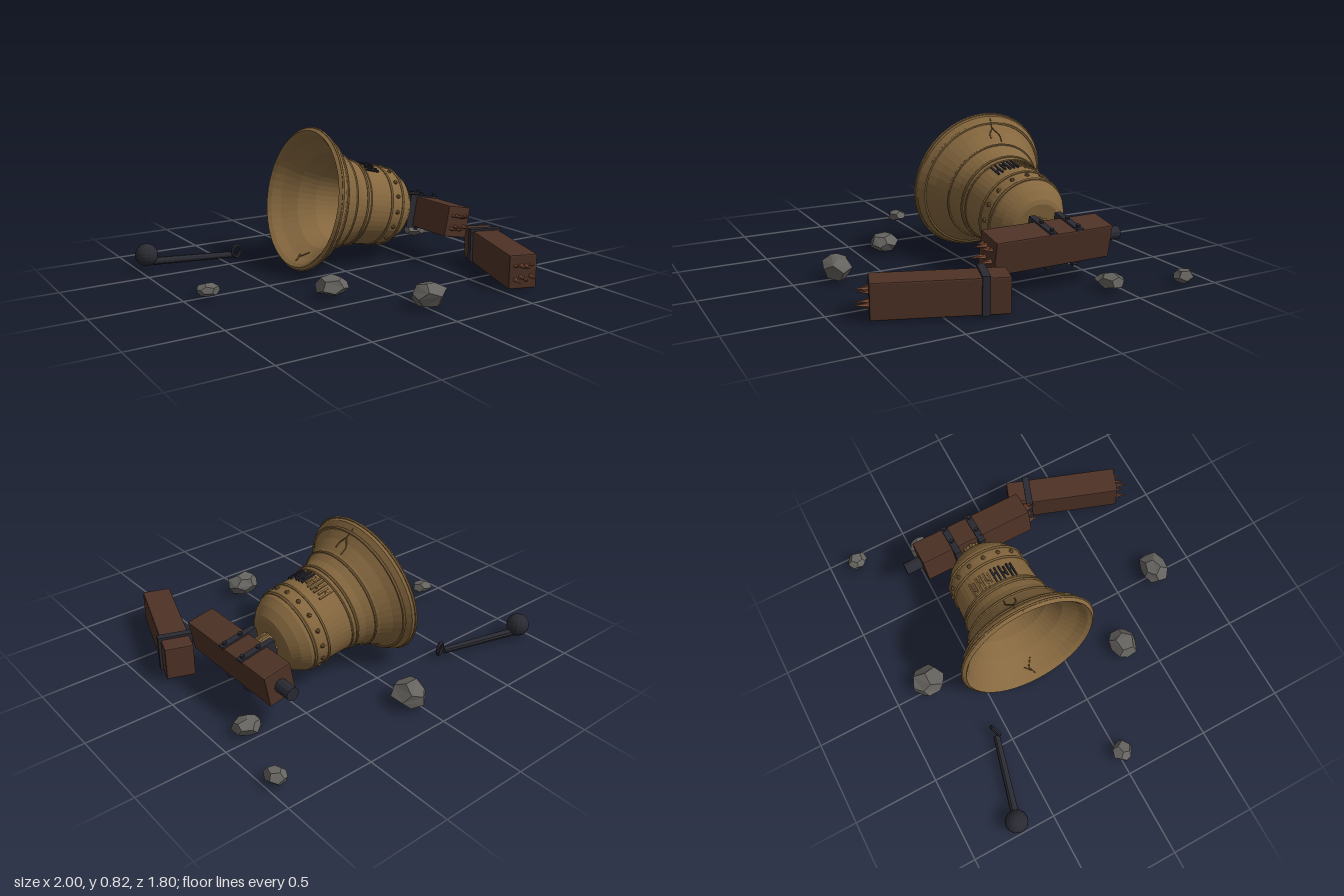
import * as THREE from 'three';
import { RoundedBoxGeometry } from 'three/addons/geometries/RoundedBoxGeometry.js';
import { mergeVertices } from 'three/addons/utils/BufferGeometryUtils.js';

const TILT = 0.19;
// Outer bell profile: [distance from mouth, radius]
const OUTER = [[0, 0.395], [0.015, 0.411], [0.045, 0.405], [0.075, 0.375], [0.12, 0.335], [0.18, 0.297],
  [0.25, 0.265], [0.33, 0.246], [0.43, 0.24], [0.54, 0.235], [0.595, 0.225], [0.64, 0.197], [0.68, 0.158], [0.69, 0.135], [0.69, 0]];
const INNER = [[0.64, 0], [0.62, 0.165], [0.54, 0.205], [0.4, 0.215], [0.25, 0.235], [0.15, 0.28], [0.07, 0.345], [0.02, 0.375]];

export function createModel() {
  const material = (name, color) => {
    const m = new THREE.MeshStandardMaterial({ color, flatShading: true });
    m.name = name;
    return m;
  };
  const bronze = material('bronze', 0x86683f);
  const darkBronze = material('dark bronze', 0x6a4f2e);
  const wood = material('wood', 0x4e3226);
  const splinterWood = material('splintered wood', 0x87523a);
  const iron = material('iron', 0x2a2a33);
  const stone = material('stone', 0x65635f);

  const model = new THREE.Group();
  const group = (name, x, y, z, parent = model) => {
    const g = new THREE.Group();
    g.name = name;
    g.position.set(x, y, z);
    parent.add(g);
    return g;
  };
  const add = (parent, name, geometry, mat, x = 0, y = 0, z = 0) => {
    const mesh = new THREE.Mesh(geometry, mat);
    mesh.name = name;
    mesh.position.set(x, y, z);
    parent.add(mesh);
    return mesh;
  };
  const box = (w, h, d) => new THREE.BoxGeometry(w, h, d);

  // Bell lying on its side, mouth towards -x; local -x is the upper side
  const bell = group('bell', -0.18, 0.406, -0.2);
  bell.rotation.z = -(Math.PI / 2 + TILT);
  const profile = [...INNER, ...OUTER].map(([t, r]) => new THREE.Vector2(r, t));
  add(bell, 'bellBody', new THREE.LatheGeometry(profile, 48), bronze);

  const radiusAt = (t, table) => {
    const p = [...table].sort((a, b) => a[0] - b[0]);
    const i = Math.max(1, p.findIndex(q => q[0] >= t));
    const [a, b] = [p[i - 1], p[i]];
    return THREE.MathUtils.lerp(a[1], b[1], THREE.MathUtils.clamp((t - a[0]) / (b[0] - a[0]), 0, 1));
  };
  const onBell = (t, phi, table = OUTER, lift = 0) => {
    const r = radiusAt(t, table) + lift;
    return new THREE.Vector3(-r * Math.cos(phi), t, r * Math.sin(phi));
  };

  // Raised mouldings
  for (const [t, tube] of [[0.022, 0.008], [0.075, 0.009], [0.2, 0.007], [0.3, 0.008], [0.33, 0.006], [0.485, 0.009], [0.57, 0.009]]) {
    const ring = new THREE.TorusGeometry(radiusAt(t, OUTER), tube, 6, 48).rotateX(Math.PI / 2);
    add(bell, 'moulding', ring, bronze, 0, t, 0);
  }
  // Rivets between the upper mouldings
  for (let i = 0; i < 16; i++) {
    const p = onBell(0.528, (i / 16) * Math.PI * 2);
    add(bell, 'rivet', new THREE.SphereGeometry(0.013, 8, 6), darkBronze, p.x, p.y, p.z);
  }
  // Worn ornament of raised strokes, half dark and half bronze
  for (let i = 0; i < 6; i++) {
    const mat = i < 3 ? bronze : iron;
    const phi = -0.56 + i * 0.2;
    const stroke = (dPhi, t, length, width, turn) => {
      const holder = group('ornament', 0, 0, 0, bell);
      holder.rotation.y = phi + dPhi;
      const bar = add(holder, 'ornamentStroke', box(0.012, length, width), mat, -radiusAt(t, OUTER) - 0.002, t, 0);
      bar.rotation.x = turn;
    };
    stroke(-0.05, 0.385, 0.09, 0.01, 0);
    stroke(0.05, 0.385, i % 2 ? 0.09 : 0.065, 0.01, 0);
    stroke(0, 0.375 + (i % 2) * 0.02, 0.035, 0.009, i % 2 ? 0.9 : -0.9);
  }
  // Cracks at the lip
  const crack = (points, table, lift) => {
    const curve = new THREE.CatmullRomCurve3(points.map(([t, phi]) => onBell(t, phi, table, lift)), false, 'catmullrom', 0);
    add(bell, 'crack', new THREE.TubeGeometry(curve, 12, 0.004, 5), darkBronze);
  };
  crack([[0.01, 0.03], [0.06, -0.05], [0.1, -0.02], [0.14, -0.13], [0.18, -0.12]], OUTER, 0.001);
  crack([[0.1, -0.02], [0.13, 0.06], [0.16, 0.07]], OUTER, 0.001);
  crack([[0.03, Math.PI], [0.07, Math.PI + 0.06], [0.11, Math.PI - 0.04]], INNER, -0.001);
  crack([[0.05, Math.PI + 0.03], [0.08, Math.PI + 0.13]], INNER, -0.001);

  // Crown stem joining bell and yoke
  add(bell, 'crownStem', new THREE.CylinderGeometry(0.05, 0.06, 0.1, 12), bronze, 0, 0.73, 0);
  for (let i = 0; i < 8; i++) {
    const a = (i / 8) * Math.PI * 2;
    add(bell, 'crownRib', new THREE.CylinderGeometry(0.01, 0.01, 0.08, 6), bronze, 0.054 * Math.cos(a), 0.73, 0.054 * Math.sin(a));
  }

  // Splinters pointing along +z from a broken beam end
  const splinters = (parent, z) => {
    for (let i = 0; i < 8; i++) {
      const length = 0.055 + 0.02 * ((i * 5) % 3);
      const cone = new THREE.ConeGeometry(0.015, length, 5).rotateX(Math.PI / 2);
      add(parent, 'splinter', cone, splinterWood, -0.045 + 0.03 * (i % 4), (i < 4 ? 0.035 : -0.035) + 0.012 * Math.sin(i * 3), z + length / 2 - 0.015);
    }
  };

  // Yoke beam with axle stub and two U-shaped straps
  const yoke = group('yoke', 0.66, 0.238, -0.15);
  yoke.rotation.z = -TILT;
  add(yoke, 'yokeBeam', new RoundedBoxGeometry(0.165, 0.185, 0.7, 1, 0.008), wood);
  add(yoke, 'axle', new THREE.CylinderGeometry(0.037, 0.037, 0.12, 12).rotateX(Math.PI / 2), iron, 0, 0, -0.39);
  splinters(yoke, 0.35);
  for (const z of [-0.14, 0.02]) {
    const strap = group('yokeStrap', 0, 0, z, yoke);
    add(strap, 'strapBack', box(0.05, 0.205, 0.038), iron, -0.105, 0, 0);
    for (const s of [-1, 1]) {
      add(strap, 'strapArm', box(0.17, 0.012, 0.038), iron, 0, s * 0.097, 0);
      for (const x of [-0.04, 0.06])
        add(strap, 'bolt', new THREE.CylinderGeometry(0.012, 0.012, 0.022, 6), iron, x, s * 0.106, 0);
    }
  }

  // Fallen beam half with an iron band
  const fallen = group('fallenBeam', 0.72, 0.097, 0.495);
  fallen.rotation.y = -0.345;
  add(fallen, 'brokenBeam', new RoundedBoxGeometry(0.16, 0.19, 0.68, 1, 0.008), wood);
  add(fallen, 'beamBand', box(0.19, 0.2, 0.04), iron, 0, 0.008, -0.215);
  splinters(fallen, 0.34);

  // Loose clapper: ball, rod and eye
  const clapper = group('clapper', -0.935, 0, -0.7);
  clapper.rotation.y = -0.25;
  add(clapper, 'clapperBall', new THREE.SphereGeometry(0.066, 14, 10), iron, 0, 0.068, 0);
  add(clapper, 'clapperRod', new THREE.CylinderGeometry(0.019, 0.023, 0.47, 10).rotateZ(-Math.PI / 2), iron, 0.27, 0.026, 0);
  const eye = add(clapper, 'clapperEye', new THREE.TorusGeometry(0.034, 0.01, 6, 14), iron, 0.533, 0.045, 0);
  eye.rotation.y = 0.6;

  // Scattered stones: position, then half sizes
  const stones = [
    [0.035, 0.065, -0.78, 0.09, 0.066, 0.1], [0.945, 0.04, -0.83, 0.052, 0.036, 0.06], [0.83, 0.042, -0.44, 0.077, 0.044, 0.07],
    [-0.87, 0.04, 0.02, 0.062, 0.035, 0.06], [-0.31, 0.055, 0.35, 0.088, 0.05, 0.08], [0.02, 0.063, 0.76, 0.1, 0.064, 0.08]];
  stones.forEach(([x, y, z, w, h, d], k) => {
    let geo = new THREE.DodecahedronGeometry(1, 0).rotateX(k * 0.7).rotateY(k * 1.3);
    geo.deleteAttribute('normal');
    geo.deleteAttribute('uv');
    geo = mergeVertices(geo, 1e-3);
    const p = geo.attributes.position;
    for (let i = 0; i < p.count; i++) {
      const s = 1 + 0.16 * Math.sin(i * 12.9 + k * 7.3);
      p.setXYZ(i, p.getX(i) * s, p.getY(i) * s, p.getZ(i) * s);
    }
    // Fit to the wanted size
    geo.center();
    geo.computeBoundingBox();
    const b = geo.boundingBox.max;
    geo.scale(w / b.x, h / b.y, d / b.z);
    geo.computeVertexNormals();
    add(model, 'stone', geo, stone, x, y, z);
  });

  return model;
}
